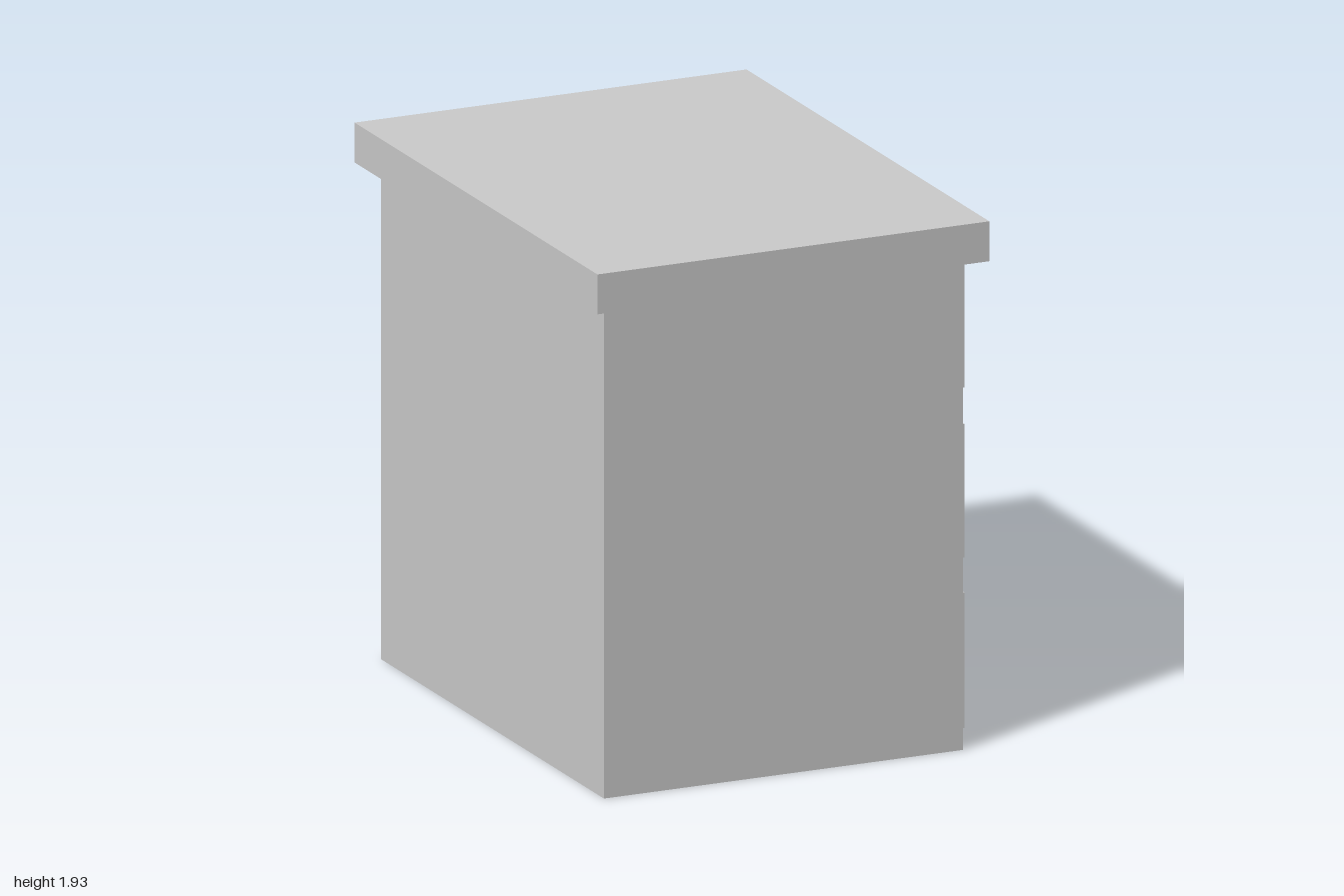
import * as THREE from 'three';

const material = new THREE.MeshStandardMaterial({ color: 0xcccccc, flatShading: true });

// Box given by its lower and upper limits on each axis
function box(name, [x0, x1], [y0, y1], [z0, z1]) {
  const mesh = new THREE.Mesh(new THREE.BoxGeometry(x1 - x0, y1 - y0, z1 - z0), material);
  mesh.position.set((x0 + x1) / 2, (y0 + y1) / 2, (z0 + z1) / 2);
  mesh.name = name;
  return mesh;
}

export function createModel() {
  const model = new THREE.Group();
  model.name = 'drawerCabinet';

  // Carcass and overhanging top
  model.add(box('cabinetBody', [-0.707, 0.67], [0, 1.79], [-0.918, 0.918]));
  model.add(box('tabletop', [-0.77, 0.733], [1.79, 1.935], [-1, 1]));

  // Three drawers on the +x side: front panel limits and handle limits in y
  const drawers = [
    { name: 'bottomDrawer', panel: [0.06, 0.553], handle: [0.338, 0.486] },
    { name: 'middleDrawer', panel: [0.68, 1.165], handle: [0.96, 1.106] },
    { name: 'topDrawer', panel: [1.298, 1.755], handle: [1.543, 1.69] },
  ];
  for (const { name, panel, handle } of drawers) {
    const drawer = new THREE.Group();
    drawer.name = name;
    drawer.add(box('drawerFront', [0.67, 0.702], panel, [-0.848, 0.862]));
    drawer.add(box('drawerHandle', [0.702, 0.768], handle, [-0.21, 0.213]));
    model.add(drawer);
  }
  return model;
}
